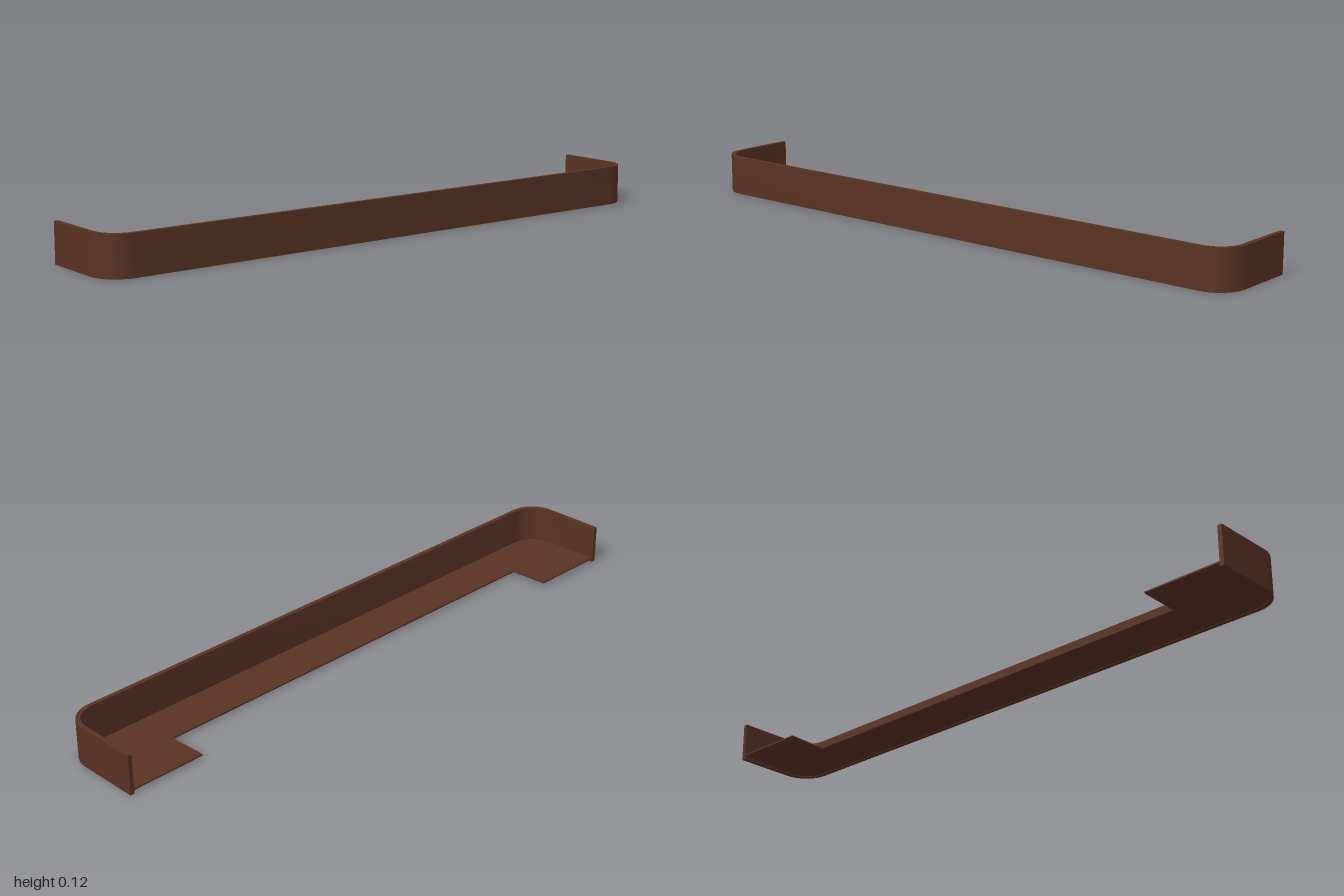
import * as THREE from 'three';
import { toCreasedNormals } from 'three/addons/utils/BufferGeometryUtils.js';

const BACK = -0.144, FRONT = 0.144, HEIGHT = 0.125, WALL = 0.014, RADIUS = 0.09;

// U-shaped run of points, inset from the outside, with rounded front corners
function trayOutline(inset) {
  const x = 1 - inset, z = FRONT - inset, r = RADIUS - inset;
  const points = [new THREE.Vector2(-x, BACK)];
  for (const side of [-1, 1]) {
    for (let i = 0; i <= 8; i++) {
      const a = (side < 0 ? i : 8 - i) / 8 * Math.PI / 2;
      points.push(new THREE.Vector2(side * (x - r + r * Math.cos(a)), z - r + r * Math.sin(a)));
    }
  }
  points.push(new THREE.Vector2(x, BACK));
  return points;
}

// Extrude a plan drawn in x and z so that it stands on y = 0
function extrudePlan(points, height) {
  const geometry = new THREE.ExtrudeGeometry(new THREE.Shape(points), { depth: height, bevelEnabled: false });
  return geometry.rotateX(Math.PI / 2).translate(0, height, 0);
}

export function createModel() {
  const group = new THREE.Group();
  const material = new THREE.MeshStandardMaterial({ color: 0x5a3324, side: THREE.DoubleSide });
  const add = (name, geometry) => {
    const mesh = new THREE.Mesh(toCreasedNormals(geometry, 0.5), material);
    mesh.name = name;
    group.add(mesh);
  };

  // Upright rim around the front and both ends
  const rim = [...trayOutline(0), ...trayOutline(WALL).reverse()];
  add('rim', extrudePlan(rim, HEIGHT));

  // Thin floor with a wide notch at the back, leaving a tab at each end
  const notch = [[0.745, BACK], [0.745, -0.015], [-0.73, -0.015], [-0.73, BACK]]
    .map(([x, z]) => new THREE.Vector2(x, z));
  const floor = extrudePlan([...trayOutline(WALL * 0.8), ...notch], 0.005);

  // The floor rises slightly towards the back
  const p = floor.attributes.position;
  for (let i = 0; i < p.count; i++) {
    p.setY(i, p.getY(i) + 0.001 + 0.01 * (FRONT - p.getZ(i)) / (FRONT - BACK));
  }
  add('floor', floor);

  return group;
}
